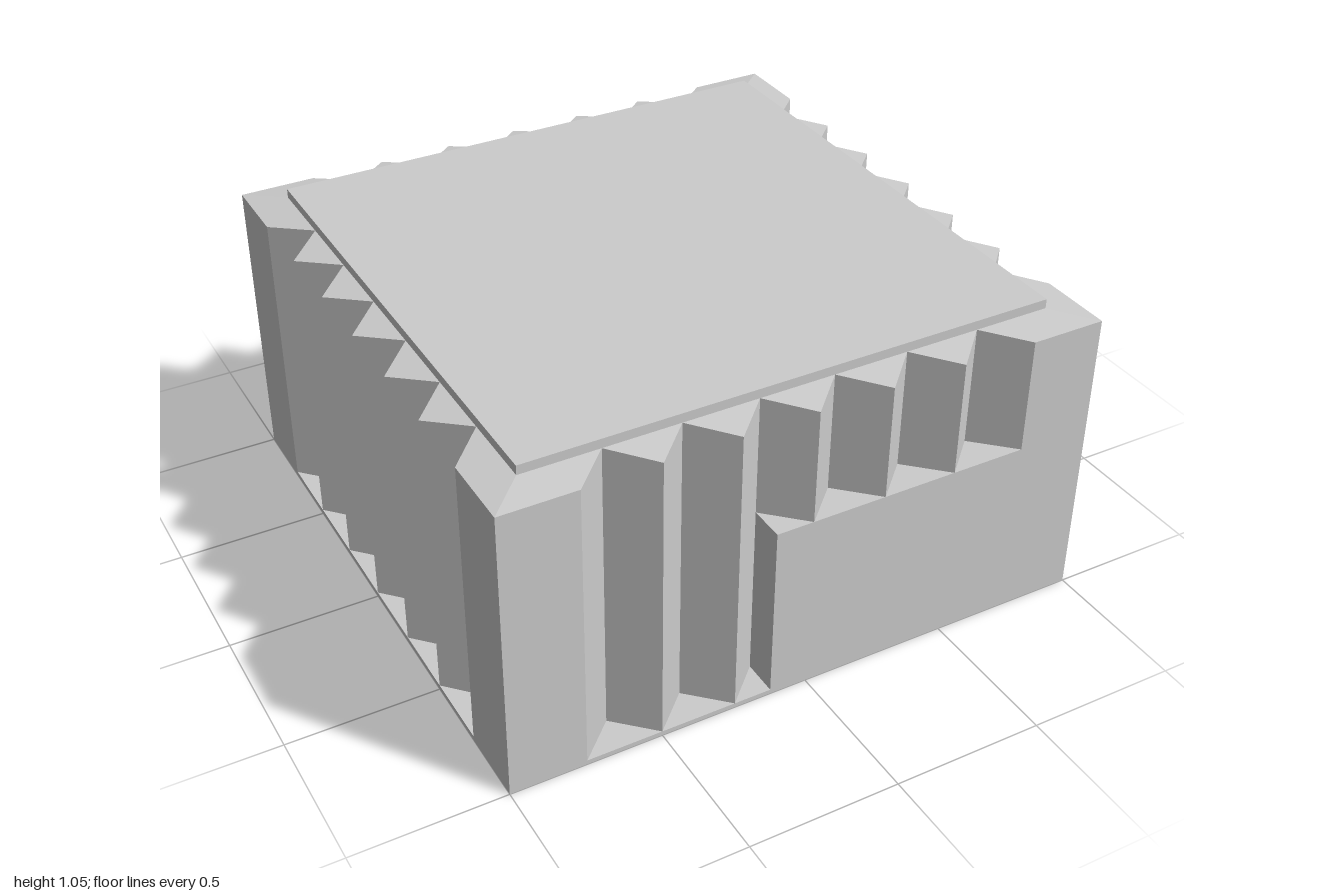
import * as THREE from 'three';

const INNER = 0.88;   // groove valley distance from centre
const FLOOR = 0.015, LEDGE = 0.613, EAVE = 1, ROOF = 1.016, TOP = 1.047;

const material = new THREE.MeshStandardMaterial({ color: 0xcccccc, flatShading: true });

function add(group, name, geometry) {
  const mesh = new THREE.Mesh(geometry, material);
  mesh.name = name;
  group.add(mesh);
  return mesh;
}

// Zigzag points first..last along one side, as [along, outward]
function zigzag(first, last) {
  const points = [];
  for (let k = first; k <= last; k++) points.push([-0.75 + 0.125 * k, k % 2 ? INNER : 1]);
  return points;
}

// Joins four sides (front, +x, back, -x) into one loop of [x, z]
function outline(sides) {
  const turn = [
    (u, v) => [u, v], (u, v) => [v, -u], (u, v) => [-u, -v], (u, v) => [-v, u],
  ];
  return sides.flatMap((side, i) => [[-1, 1], ...side].map(([u, v]) => turn[i](u, v)));
}

// Faces between consecutive rings of [x, y, z] points
function skin(rings) {
  const positions = [];
  for (let r = 0; r + 1 < rings.length; r++) {
    const lower = rings[r], upper = rings[r + 1], n = lower.length;
    for (let i = 0; i < n; i++) {
      const j = (i + 1) % n;
      for (const p of [lower[i], lower[j], upper[j], lower[i], upper[j], upper[i]]) positions.push(...p);
    }
  }
  const geometry = new THREE.BufferGeometry();
  geometry.setAttribute('position', new THREE.Float32BufferAttribute(positions, 3));
  geometry.computeVertexNormals();
  return geometry;
}

export function createModel() {
  const group = new THREE.Group();
  group.name = 'pleatedBlock';
  const full = zigzag(0, 12);

  // Thin square plinth under the grooves
  add(group, 'plinth', new THREE.BoxGeometry(2, FLOOR, 2)).position.y = FLOOR / 2;

  // Lower body: the front +x corner stays solid up to the ledge
  const lower = outline([
    [...zigzag(0, 5), [-0.125, 1]],
    [[0.375, 1], ...zigzag(9, 12)],
    full, full,
  ]);
  const shape = new THREE.Shape(lower.map(([x, z]) => new THREE.Vector2(x, -z)));
  const body = new THREE.ExtrudeGeometry(shape, { depth: LEDGE - FLOOR, bevelEnabled: false });
  add(group, 'lowerBody', body.rotateX(-Math.PI / 2)).position.y = FLOOR;

  // Upper body: grooves all round, with a shallow sloped rim
  const upper = outline([full, full, full, full]);
  const clamp = (t) => THREE.MathUtils.clamp(t, -INNER, INNER);
  const rimHeight = ([x, z]) =>
    EAVE + (ROOF - EAVE) * (1 - Math.max(Math.abs(x), Math.abs(z))) / (1 - INNER);
  add(group, 'upperBody', skin([
    upper.map(([x, z]) => [x, LEDGE, z]),
    upper.map(([x, z]) => [x, rimHeight([x, z]), z]),
    upper.map(([x, z]) => [clamp(x), ROOF, clamp(z)]),
  ]));

  // Flat lid slab
  add(group, 'lid', new THREE.BoxGeometry(2 * INNER, TOP - ROOF, 2 * INNER))
    .position.y = (TOP + ROOF) / 2;

  return group;
}
